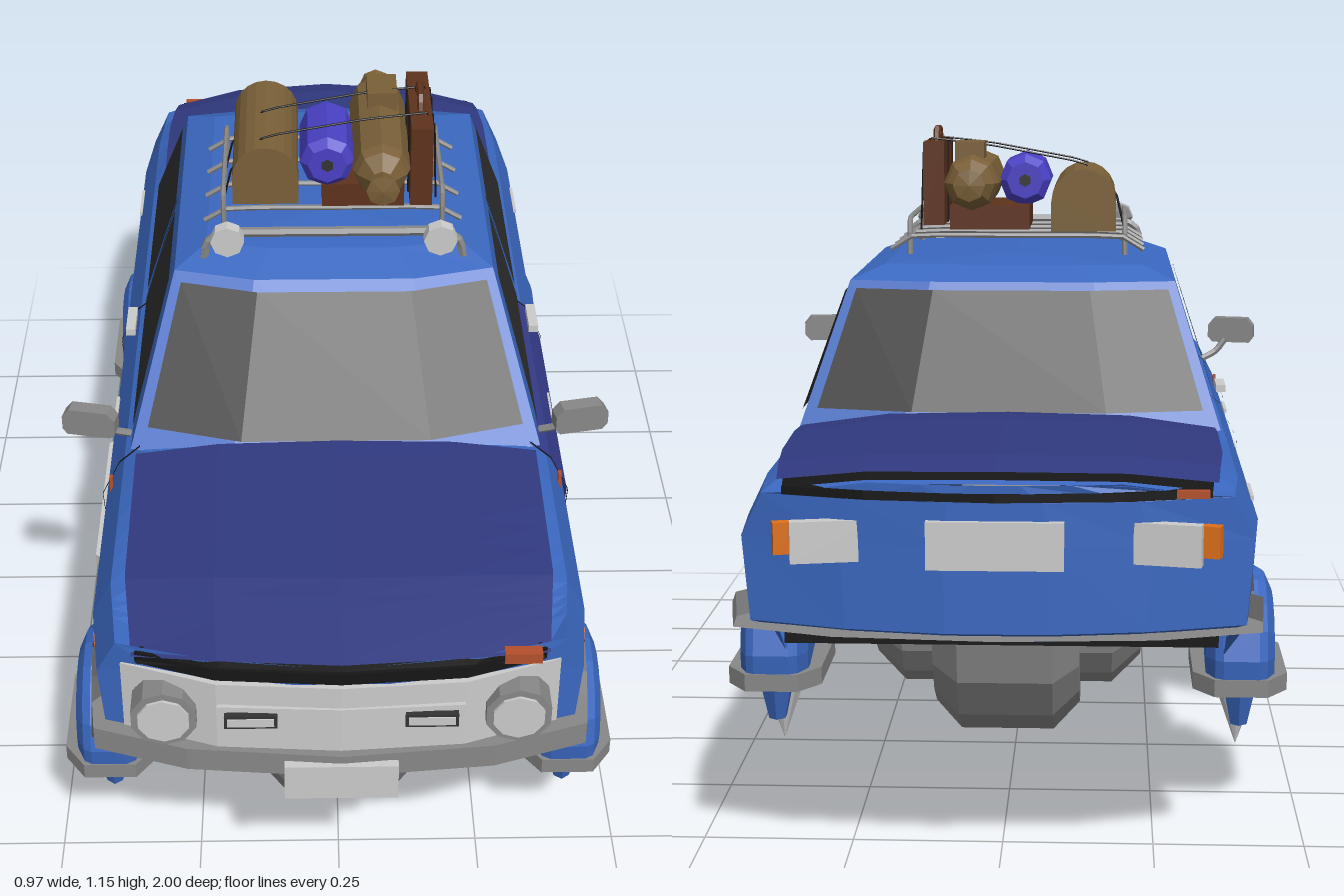
import * as THREE from 'three';

const mat = (color, side = THREE.FrontSide) => new THREE.MeshStandardMaterial({ color, flatShading: true, side });
const D = THREE.DoubleSide;
const M = {
  blue: mat(0x3b68c0, D), dark: mat(0x30397f, D), door: mat(0x363d8c, D), black: mat(0x161616, D), glass: mat(0x2e2e2e, D),
  trim: mat(0x333333, D), grey: mat(0xcccccc, D), metal: mat(0x888888), pipe: mat(0x555555), rust: mat(0xb5502c, D),
  orange: mat(0xe0701a), canvas: mat(0x7a6038), leather: mat(0x5e321d), violet: mat(0x4a40c4),
};
const V = (x, y, z) => new THREE.Vector3(x, y, z);
const lerp = THREE.MathUtils.lerp;

export function createModel() {
  const root = new THREE.Group();
  const add = (name, geo, m, x = 0, y = 0, z = 0, parent = root) => {
    const o = new THREE.Mesh(geo, m);
    o.name = name;
    o.position.set(x, y, z);
    parent.add(o);
    return o;
  };
  const box = (name, m, w, h, d, x, y, z) => add(name, new THREE.BoxGeometry(w, h, d), m, x, y, z);
  const tube = (name, m, pts, r, straight = false) => {
    const c = new THREE.CatmullRomCurve3(pts.map(p => V(...p)), false, 'catmullrom', straight ? 0.05 : 0.5);
    return add(name, new THREE.TubeGeometry(c, pts.length * (straight ? 3 : 2), r, 6), m);
  };
  // rod along z
  const disc = (name, m, r, d, x, y, z, n = 10) => add(name, new THREE.CylinderGeometry(r, r, d, n).rotateX(Math.PI / 2), m, x, y, z);
  const lathe = (pts, n, ...arc) => new THREE.LatheGeometry(pts.map(p => new THREE.Vector2(...p)), n, ...arc);
  // flat plate from an x,z outline
  const plate = (outline, depth) => new THREE.ExtrudeGeometry(new THREE.Shape(outline.map(([x, z]) => new THREE.Vector2(x, -z))),
    { depth, bevelEnabled: false }).rotateX(-Math.PI / 2);
  // surface through rows of points
  const grid = (name, rows, m) => {
    const pos = [];
    for (let i = 0; i + 1 < rows.length; i++) for (let j = 0; j + 1 < rows[0].length; j++) {
      const a = rows[i][j], b = rows[i + 1][j], c = rows[i + 1][j + 1], d = rows[i][j + 1];
      for (const p of [a, b, c, a, c, d]) pos.push(p.x, p.y, p.z);
    }
    const g = new THREE.BufferGeometry();
    g.setAttribute('position', new THREE.Float32BufferAttribute(pos, 3));
    g.computeVertexNormals();
    return add(name, g, m);
  };
  // rectangular bar following an x,z path
  const bar = (name, m, path, y0, y1, t) => {
    const rows = path.map(([x, z]) => {
      const xi = x * (1 - 2 * t), zi = z - Math.sign(z) * t;
      return [V(x, y0, z), V(x, y1, z), V(xi, y1, zi), V(xi, y0, zi), V(x, y0, z)];
    });
    const cap = r => r.map(() => r[0].clone().lerp(r[2], 0.5));
    return grid(name, [cap(rows[0]), ...rows, cap(rows.at(-1))], m);
  };

  // ---- lower body: cross-sections along z, arches cut into the lower edge
  const key = (table, z) => {
    const i = Math.max(1, table.findIndex(k => k[0] >= z));
    const [a, b] = [table[i - 1], table[i]];
    return lerp(a[1], b[1], (z - a[0]) / (b[0] - a[0]));
  };
  const width = [[-1, .385], [-.8, .4], [.8, .4], [1, .38]];
  const deck = [[-1, .655], [-.9, .678], [-.62, .688], [-.5, .675], [.47, .682], [.81, .662], [1, .622]];
  const sill = [[-1, .43], [-.75, .375], [.8, .375], [1, .41]];
  const arches = [[.67, .3, .215], [-.52, .25, .21]];
  const bend = p => {
    p.z -= Math.sign(p.z) * Math.max(0, (Math.abs(p.z) - .6) / .37) * .075 * (p.x / .4) ** 2;
    return p;
  };
  const section = (z, out = 0) => {
    const w = key(width, z) + out, d = key(deck, z) + out, s = key(sill, z);
    let low = s, tuck = Math.abs(z) > .72 ? s - .015 : .315;
    for (const [c, y, r] of arches) if (Math.abs(z - c) < r) {
      const a = y + Math.sqrt(r * r - (z - c) ** 2);
      if (a > s) { low = a; tuck = a; }
    }
    const half = [[w - .035, tuck], [w, low], [w + .012, .56], [w - .022, .63], [w - .06, d - .025], [w * .5, d - .005], [0, d]];
    const right = half.map(([x, y]) => bend(V(x, y, z)));
    return [...right, ...half.slice(0, 6).reverse().map(([x, y]) => bend(V(-x, y, z)))];
  };
  const zs = [-.98, -.9, -.8, -.45, -.3, -.07, .15, .43, .81, .9, .97];
  for (const [c, , r] of arches) for (const f of [-.95, -.82, -.6, -.3, 0, .3, .6, .82, .95]) zs.push(c + f * r);
  zs.sort((a, b) => a - b);
  grid('bodyShell', zs.map(z => section(z)), M.blue);
  const span = (a, b) => [a, ...zs.filter(z => z > a + .005 && z < b - .005), b];
  for (const z of [-.98, .97]) {
    const s = section(z);
    const across = (x, y, dz) => [-1, -.6, -.2, .2, .6, 1].map(f => {
      const p = bend(V(f * x, y, z));
      p.z -= Math.sign(z) * dz;
      return p;
    });
    const rows = s.slice(0, 6).map((p, i) => across(p.x, i === 5 ? s[6].y - .002 : p.y, i ? 0 : .03));
    // the first row closes the valance back to the floor
    grid(z > 0 ? 'nosePanel' : 'tailPanel', [across(s[0].x * .92, .365, .17), ...rows], M.blue);
  }
  box('floor', M.black, .7, .15, 1.6, 0, .433, -.005);

  // lids sit slightly raised over a black gap
  const lid = (name, a, b, m, pad) => {
    grid(name + 'Gap', span(a - pad, b + pad).map(z => section(z, .004).slice(4, 9)), M.black);
    grid(name, span(a, b).map(z => section(z, .013).slice(4, 9)), m);
  };
  lid('hood', .46, .978, M.dark, .004);
  lid('trunkLid', -.965, -.53, M.dark, .008);
  bar('hoodLip', M.black, [[-.33, .922], [-.2, .966], [0, .98], [.2, .966], [.33, .922]], .6, .622, .03);
  bar('trunkLip', M.black, [[-.33, -.933], [-.2, -.968], [0, -.985], [.2, -.968], [.33, -.933]], .632, .645, .02);
  grid('leftDoor', span(-.07, .43).map(z => section(z, .006).slice(1, 5)), M.door);
  for (const z of [-.07, .43]) for (const [a, b] of [[1, 5], [8, 12]])
    grid('doorSeam', [z - .003, z + .003].map(q => section(q, .008).slice(a, b)), M.black);

  // ---- cabin
  const loop = (y, x, zf, zr, bow) => [[x, zf - bow], [x * .5, zf - bow * .2], [-x * .5, zf - bow * .2], [-x, zf - bow],
    [-x, zr + bow * .7], [-x * .5, zr + bow * .1], [x * .5, zr + bow * .1], [x, zr + bow * .7], [x, zf - bow]].map(p => V(p[0], y, p[1]));
  const base = loop(.655, .365, .485, -.54, .06), eave = loop(.9, .287, .262, -.41, .045);
  const crown = loop(.924, .23, .19, -.35, .03);
  grid('cabin', [base, eave, crown, loop(.934, 0, .05, -.2, 0)], M.blue);
  const pane = (name, i, dz) => grid(name, [.12, .93].map(t => [0, 1, 2, 3].map(k => {
    const p = base[i + k].clone().lerp(eave[i + k], t);
    return V(p.x * .94, p.y + .004, p.z + dz);
  })), M.glass);
  pane('windscreen', 0, .006);
  pane('rearWindow', 4, -.006);
  for (const s of [1, -1]) {
    for (const [n, b0, b1, t0, t1] of [['frontSideWindow', .395, -.03, .215, -.03], ['rearSideWindow', -.065, -.475, -.065, -.365]])
      grid(n, [[V(s * .362, .685, b0), V(s * .362, .685, b1)], [V(s * .298, .88, t0), V(s * .298, .88, t1)]], M.glass);
    grid('doorPillar', [[V(s * .364, .67, -.043), V(s * .364, .67, -.051)], [V(s * .294, .895, -.043), V(s * .294, .895, -.051)]], M.black);
    // arch flares
    for (const [c, y, r] of arches) {
      const a0 = Math.asin((.385 - y) / r), rows = [];
      for (let i = 0; i <= 10; i++) {
        const a = lerp(a0, Math.PI - a0, i / 10);
        rows.push([[.34, .04], [.418, .035], [.416, -.003], [.4, -.005]].map(([x, q]) => V(s * x, y + (r - q) * Math.sin(a), c + (r - q) * Math.cos(a))));
      }
      grid('wheelArchFlare', rows, M.trim);
    }
    // mirrors, handles, indicators
    const glassBack = plate([[-.048, -.01], [-.035, -.026], [.035, -.026], [.048, -.01], [.048, .015], [.038, .026], [-.04, .026], [-.048, .015]], .028);
    const mirror = add('mirror', glassBack.rotateX(Math.PI / 2), M.metal, s * .432, .708, .395);
    mirror.rotation.y = s * .2;
    tube('mirrorArm', M.metal, [[s * .37, .65, .37], [s * .4, .665, .38], [s * .42, .69, .385]], .007);
    box('doorHandle', M.grey, .018, .014, .08, s * .39, .652, .005);
    const ind = disc('sideIndicator', M.orange, .02, .025, s * .395, .54, .79, 8);
    ind.rotation.y = Math.PI / 2;
    // scratches and rust
    for (const [y, z, l] of [[.57, -.6, .1], [.575, .2, .09], [.56, -.15, .05]]) box('scratch', M.grey, .006, .008, l, s * .41, y, z);
    for (const [y, z, h, l] of [[.41, .445, .06, .02], [.4, -.32, .05, .025], [.58, .44, .05, .012]]) box('rustPatch', M.rust, .006, h, l, s * .402, y, z);
    // headlights and tail lights
    disc('headlightRim', M.metal, .055, .05, s * .285, .52, .945, 10);
    disc('headlight', M.grey, .043, .06, s * .285, .52, .945, 10);
    box('grilleSlot', M.trim, .085, .026, .01, s * .145, .525, .979);
    box('grilleSlotBar', M.grey, .075, .016, .014, s * .145, .525, .979);
    const lamp = box('tailLight', M.grey, .13, .065, .02, s * .25, .565, -.955);
    lamp.rotation.y = s * .2;
    box('tailIndicator', M.orange, .04, .05, .02, s * .325, .565, -.936).rotation.y = s * .3;
  }
  box('hoodRust', M.rust, .06, .02, .02, .29, .622, .938);
  box('valanceRust', M.rust, .07, .015, .012, .29, .395, .915);
  box('trunkRust', M.rust, .05, .012, .012, -.3, .64, -.945);
  bar('grille', M.grey, [[-.355, .912], [-.2, .965], [0, .978], [.2, .965], [.355, .912]], .455, .59, .04);
  bar('grilleBand', M.grey, [[-.2, .972], [0, .982], [.2, .972]], .505, .548, .02);
  bar('frontBumper', M.metal, [[-.412, .86], [-.405, .92], [-.25, .97], [0, .992], [.25, .97], [.405, .92], [.412, .86]], .41, .455, .035);
  bar('rearBumper', M.metal, [[-.415, -.87], [-.41, -.93], [-.25, -.98], [0, -.998], [.25, -.98], [.41, -.93], [.415, -.87]], .42, .46, .035);
  box('frontPlate', M.grey, .185, .07, .015, 0, .405, .992);
  box('rearPlate', M.grey, .21, .075, .02, 0, .565, -.977);

  // ---- lift engines, axles and hover pods
  const enginePts = [[.0, -.235], [.085, -.23], [.135, -.18], [.135, -.125], [.17, -.125], [.218, -.08], [.218, .08], [.17, .125], [.135, .125], [.135, .18], [.085, .23], [0, .235]];
  const podPts = [[0, -.058], [.1, -.058], [.132, -.044], [.14, -.03], [.14, .03], [.132, .044], [.1, .058], [0, .058]];
  for (const [z, zPod] of [[.665, .67], [-.478, -.52]]) {
    add('liftEngine', lathe(enginePts, 16).rotateZ(-Math.PI / 2), M.metal, 0, .338, z);
    add('axle', new THREE.CylinderGeometry(.032, .032, .72, 8).rotateZ(Math.PI / 2), M.metal, 0, .33, zPod);
    for (const s of [1, -1]) {
      const pod = new THREE.Group();
      pod.name = 'hoverPod';
      pod.position.set(s * .398, 0, zPod);
      root.add(pod);
      add('podDome', lathe(podPts, 10, Math.PI - .3, Math.PI + .6).rotateZ(-Math.PI / 2), M.blue, 0, .28, 0, pod);
      add('podRing', plate([[-.08, -.09], [-.045, -.138], [.045, -.138], [.08, -.09], [.08, .09], [.045, .138], [-.045, .138], [-.08, .09]].reverse(), .03), M.metal, 0, .228, 0, pod);
      add('podSpike', new THREE.ConeGeometry(.045, .13, 8).rotateX(Math.PI), M.grey, 0, .165, 0, pod);
      for (const q of [1, -1]) {
        const fin = add('podFin', new THREE.CylinderGeometry(.04, .02, .07, 6), M.blue, 0, .197, q * .07, pod);
        fin.scale.x = .8;
      }
    }
  }
  add('spineDuct', new THREE.CylinderGeometry(.06, .06, .95, 8).rotateX(Math.PI / 2), M.metal, 0, .305, .08);
  // hanging hoses
  const hose = (x, r, pts) => tube('hose', M.pipe, pts.map(([z, y]) => [x, y, z]), r);
  hose(-.045, .01, [[.53, .23], [.46, .1], [.3, .012], [.15, .06], [.07, .24]]);
  hose(.012, .01, [[.02, .26], [-.05, .14], [-.16, .085], [-.28, .11], [-.36, .2]]);
  hose(-.03, .006, [[.5, .25], [.42, .15], [.28, .09], [.15, .15], [.06, .28]]);
  hose(.03, .006, [[.45, .26], [.36, .19], [.2, .16], [.05, .2], [-.02, .28]]);
  hose(.02, .006, [[-.02, .28], [-.1, .19], [-.2, .16], [-.32, .25]]);

  // ---- side steps
  for (const s of [1, -1]) {
    add('stepPlate', plate([[.36, -.08], [.43, -.1], [.46, -.07], [.46, .29], [.43, .32], [.36, .3]].map(([x, z]) => [s * x, z]), .02), M.grey, 0, .282, 0);
    tube('stepRail', M.metal, [[s * .4, .29, .3], [s * .44, .21, .28], [s * .44, .19, .24], [s * .44, .19, -.03], [s * .44, .21, -.07], [s * .4, .29, -.09]], .011, true);
  }

  // ---- roof rack with lamps
  for (const s of [1, -1]) {
    tube('rackRail', M.metal, [[s * .2, .92, .11], [s * .2, .985, .105], [s * .2, .993, .09], [s * .2, .993, -.15], [s * .2, .985, -.165], [s * .2, .92, -.17]], .005, true);
    tube('lampBarFoot', M.metal, [[s * .235, .905, .19], [s * .225, .945, .19], [s * .19, .962, .19]], .008);
    disc('roofLamp', M.grey, .03, .025, s * .19, .965, .22, 8);
    add('roofLampBack', new THREE.CylinderGeometry(.028, .014, .025, 8).rotateX(Math.PI / 2), M.metal, s * .19, .965, .195);
  }
  for (const z of [-.17, -.08, .01, .1]) tube('rackBar', M.metal, [[-.235, .935, z], [-.2, .958, z], [0, .96, z], [.2, .958, z], [.235, .935, z]], .005);
  tube('lampBar', M.metal, [[-.2, .962, .19], [0, .962, .19], [.2, .962, .19]], .009);

  // ---- luggage
  const chest = new THREE.Shape();
  chest.moveTo(-.06, 0).lineTo(.06, 0).lineTo(.06, .055).absarc(0, .055, .06, 0, Math.PI, false);
  add('domedTrunk', new THREE.ExtrudeGeometry(chest, { depth: .27, bevelEnabled: false, curveSegments: 5 }), M.canvas, -.123, .968, -.17);
  const roll = [[0, -.085], [.035, -.085], [.05, -.07], [.05, .07], [.035, .085], [0, .085]];
  add('bedroll', lathe(roll, 8).rotateX(Math.PI / 2), M.violet, -.01, 1.055, .03);
  disc('bedrollCore', M.trim, .012, .175, -.01, 1.055, .03, 6);
  const sack = [[0, -.215], [.03, -.21], [.02, -.175], [.045, -.15], [.052, -.13], [.052, .13], [.045, .15], [.02, .175], [.03, .21], [0, .215]];
  add('duffelSack', lathe(sack, 8).rotateX(Math.PI / 2), M.canvas, .087, 1.055, 0);
  box('smallParcel', M.canvas, .055, .035, .08, .093, 1.112, -.06);
  box('flatSuitcase', M.leather, .15, .045, .21, .055, .988, 0);
  box('uprightSuitcase', M.leather, .04, .155, .23, .16, 1.052, .005);
  tube('suitcaseHandle', M.leather, [[.16, 1.125, .045], [.16, 1.15, .035], [.16, 1.15, -.02], [.16, 1.125, -.03]], .007, true);
  for (const z of [-.04, .065]) {
    tube('strap', M.black, [[-.2, .96, z], [-.183, 1.03, z], [-.123, 1.088, z], [.06, 1.122, z], [.17, 1.134, z], [.184, 1.12, z], [.19, .96, z]], .002, true);
    for (const x of [.139, .181]) box('suitcaseBelt', M.black, .003, .155, .012, x, 1.052, z);
  }
  return root;
}
